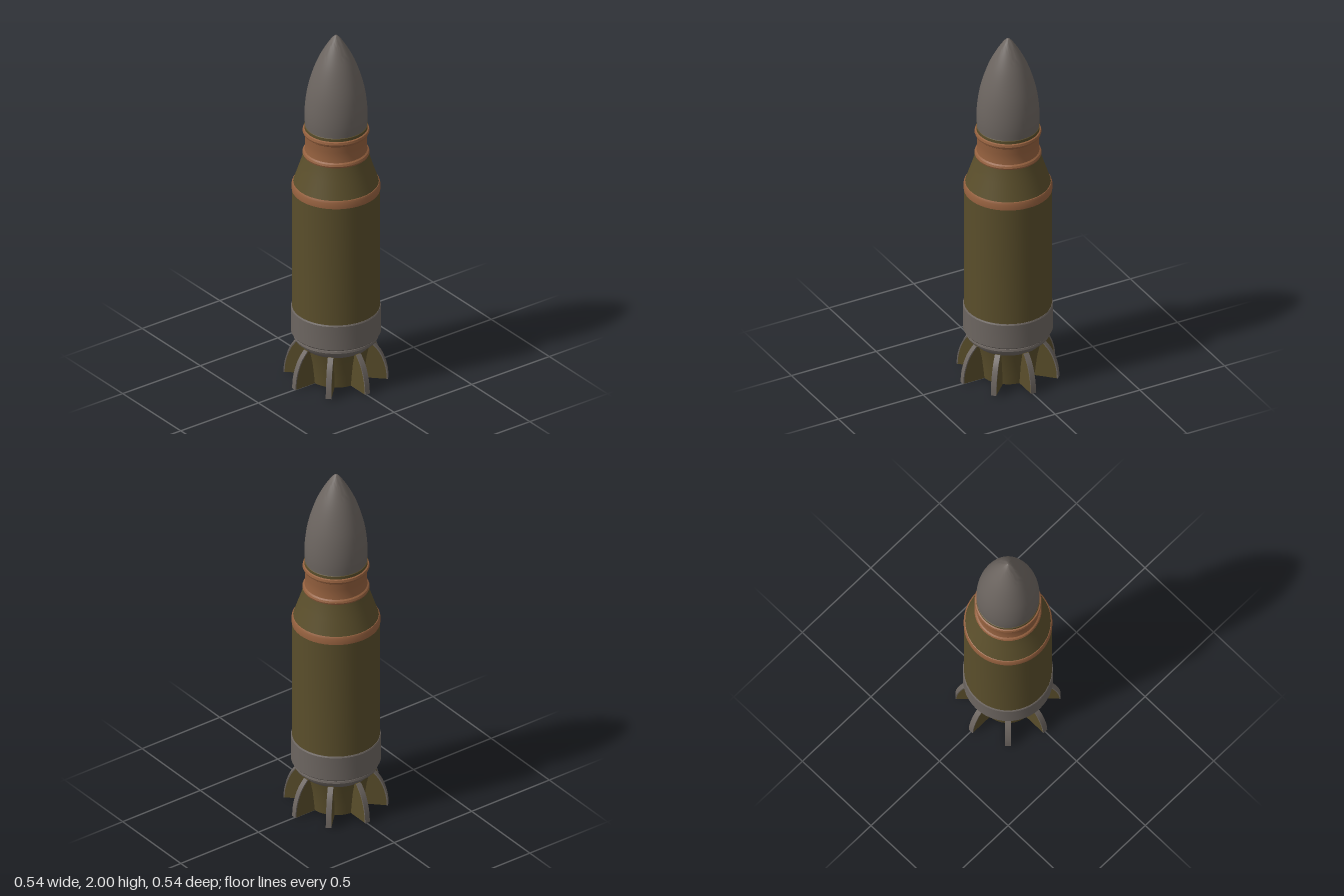
import * as THREE from 'three';
import { toCreasedNormals } from 'three/addons/utils/BufferGeometryUtils.js';

const SEGMENTS = 48;

function material(name, color) {
  const m = new THREE.MeshStandardMaterial({ color });
  m.name = name;
  return m;
}

export function createModel() {
  const olive = material('olive casing', 0x5a4e2b);
  const steel = material('grey steel', 0x6c6560);
  const copper = material('copper', 0x94603e);
  const model = new THREE.Group();
  model.name = 'finnedShell';

  // Turned part from [radius, height] pairs, listed bottom to top
  function turned(name, mat, profile) {
    const points = profile.map(([r, y]) => new THREE.Vector2(r, y));
    const geometry = toCreasedNormals(new THREE.LatheGeometry(points, SEGMENTS), 0.5);
    const mesh = new THREE.Mesh(geometry, mat);
    mesh.name = name;
    model.add(mesh);
  }

  // Tail: primer disc, tapered core and grooved collar
  turned('primer', copper, [[0, 0], [0.075, 0], [0.075, 0.008]]);
  turned('tailCore', olive, [[0, 0.006], [0.147, 0.006], [0.153, 0.06], [0.162, 0.13], [0.18, 0.21]]);
  turned('tailCollar', steel, [
    [0.15, 0.195], [0.178, 0.197], [0.192, 0.212], [0.2, 0.23], [0.216, 0.234],
    [0.221, 0.245], [0.218, 0.256], [0.208, 0.26], [0.208, 0.275],
  ]);

  // Casing: steel base band, body and copper shoulder band
  turned('baseBand', steel, [
    [0.19, 0.264], [0.226, 0.264], [0.233, 0.272], [0.233, 0.408], [0.229, 0.415], [0.22, 0.415],
  ]);
  turned('casingBody', olive, [[0.227, 0.4], [0.227, 1.11]]);
  turned('shoulderBand', copper, [
    [0.222, 1.096], [0.229, 1.099], [0.229, 1.132], [0.224, 1.142], [0.217, 1.145],
  ]);
  turned('shoulder', olive, [[0.222, 1.14], [0.212, 1.17], [0.19, 1.235], [0.174, 1.285], [0.166, 1.315]]);

  // Neck: waisted copper sleeve with a rolled ring at each end
  turned('neckSleeve', copper, [
    [0.16, 1.304], [0.171, 1.308], [0.174, 1.317], [0.17, 1.327], [0.162, 1.333],
    [0.159, 1.36], [0.16, 1.39], [0.163, 1.427], [0.169, 1.432], [0.173, 1.443],
    [0.17, 1.455], [0.158, 1.46],
  ]);
  turned('neckLip', olive, [[0.163, 1.455], [0.163, 1.474], [0.157, 1.478]]);

  // Pointed nose
  const nose = new THREE.SplineCurve([
    [0.16, 1.472], [0.163, 1.53], [0.16, 1.6], [0.149, 1.68], [0.129, 1.76],
    [0.101, 1.84], [0.067, 1.91], [0.03, 1.97], [0.008, 1.996],
  ].map(([r, y]) => new THREE.Vector2(r, y))).getPoints(28);
  turned('nose', steel, [...nose.map((p) => [p.x, p.y]), [0, 2]]);

  // Eight curved olive fins, each with a steel strip on its outer edge
  const edge = new THREE.SplineCurve([
    [0.272, 0.006], [0.268, 0.06], [0.254, 0.115], [0.231, 0.165], [0.196, 0.208],
  ].map(([r, y]) => new THREE.Vector2(r, y))).getPoints(12);
  const inset = edge.map((p) => new THREE.Vector2(p.x - 0.006, Math.max(p.y - 0.003, 0.006)));

  function plate(points, depth) {
    const geometry = new THREE.ExtrudeGeometry(new THREE.Shape(points), { depth, bevelEnabled: false });
    geometry.translate(0, 0, -depth / 2);
    return toCreasedNormals(geometry, 0.5);
  }
  const finGeometry = plate([
    new THREE.Vector2(0.12, 0.006), ...inset, new THREE.Vector2(0.12, 0.205),
  ], 0.027);
  const rimGeometry = plate([...edge, ...inset.slice().reverse()], 0.029);

  for (let i = 0; i < 8; i++) {
    const fin = new THREE.Group();
    fin.name = 'tailFin';
    const blade = new THREE.Mesh(finGeometry, olive);
    blade.name = 'finBlade';
    const rim = new THREE.Mesh(rimGeometry, steel);
    rim.name = 'finEdge';
    fin.add(blade, rim);
    fin.rotation.y = (i * Math.PI) / 4;
    model.add(fin);
  }
  return model;
}
